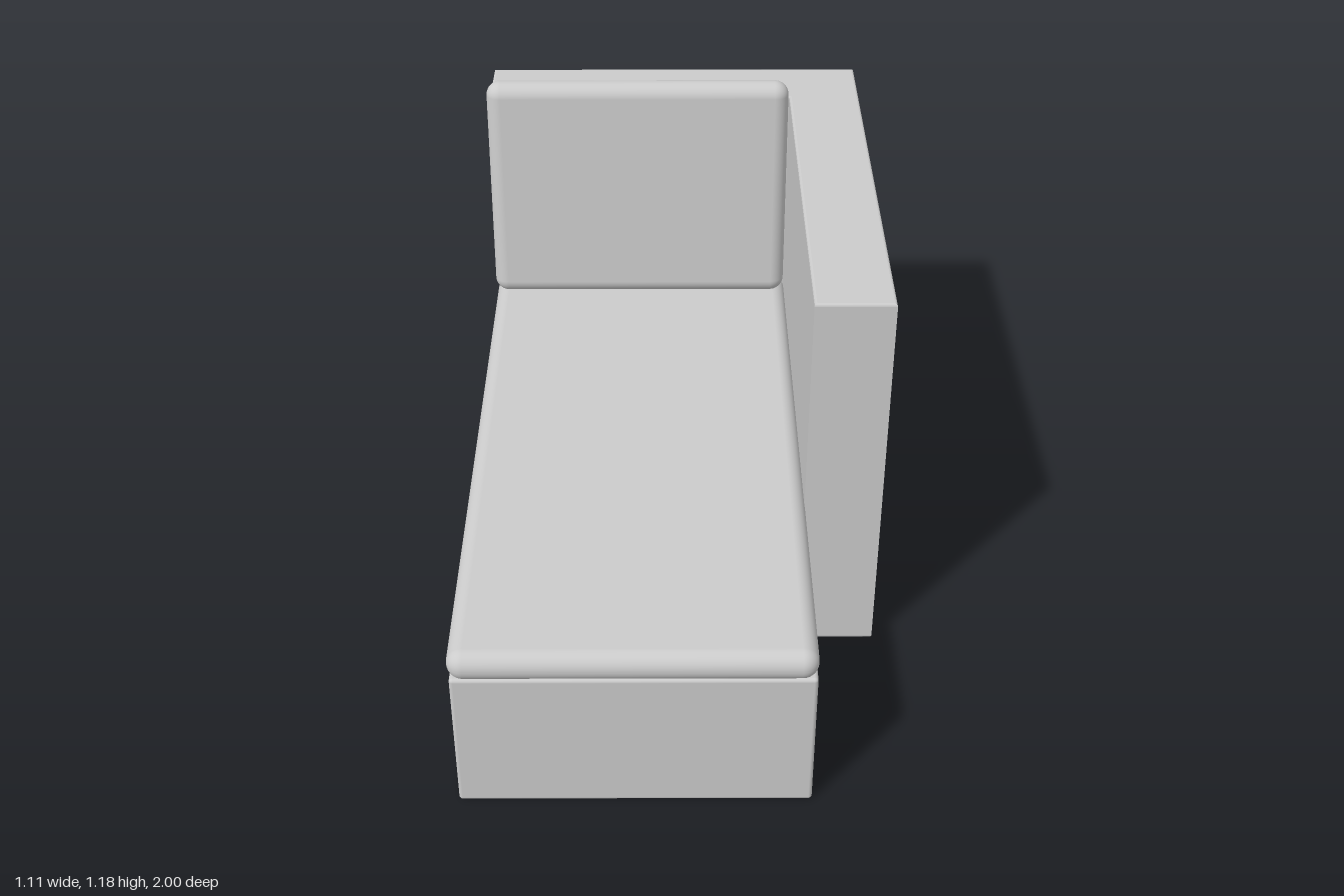
import * as THREE from 'three';
import { RoundedBoxGeometry } from 'three/addons/geometries/RoundedBoxGeometry.js';

export function createModel() {
  const group = new THREE.Group();
  group.name = 'cornerChaise';
  const material = new THREE.MeshStandardMaterial({ color: 0xcccccc });

  function add(name, geometry, x = 0, y = 0, z = 0) {
    const mesh = new THREE.Mesh(geometry, material);
    mesh.name = name;
    mesh.position.set(x, y, z);
    group.add(mesh);
    return mesh;
  }

  // Rounded box given by its limits on each axis
  function block(name, [x0, x1], [y0, y1], [z0, z1], radius, segments) {
    const geometry = new RoundedBoxGeometry(x1 - x0, y1 - y0, z1 - z0, segments, radius);
    return add(name, geometry, (x0 + x1) / 2, (y0 + y1) / 2, (z0 + z1) / 2);
  }

  // L-shaped back and side arm: plan outline raised to full height with eased edges
  const height = 1.112, ease = 0.007;
  const plan = new THREE.Shape([
    [-0.555, 1], [-0.555, 0.8], [0.347, 0.8],
    [0.347, -0.372], [0.555, -0.372], [0.555, 1],
  ].map(([x, y]) => new THREE.Vector2(x, y)));
  const walls = new THREE.ExtrudeGeometry(plan, {
    depth: height - 2 * ease,
    bevelThickness: ease,
    bevelSize: ease,
    bevelOffset: -ease,
    bevelSegments: 3,
  });
  walls.rotateX(-Math.PI / 2);
  add('backAndArm', walls, 0, ease, 0);

  // Long seat base
  block('seatBase', [-0.555, 0.348], [0, 0.418], [-0.805, 0.982], 0.01, 3);

  // Thin seat cushion with fully rounded rim
  block('seatCushion', [-0.559, 0.349], [0.418, 0.502], [-0.8, 1], 0.041, 6);

  // Back cushion leaning against the back
  const back = block('backCushion', [-0.559, 0.341], [0.5, 1.186], [-0.773, -0.688], 0.042, 6);
  back.rotation.x = -0.08;

  return group;
}
